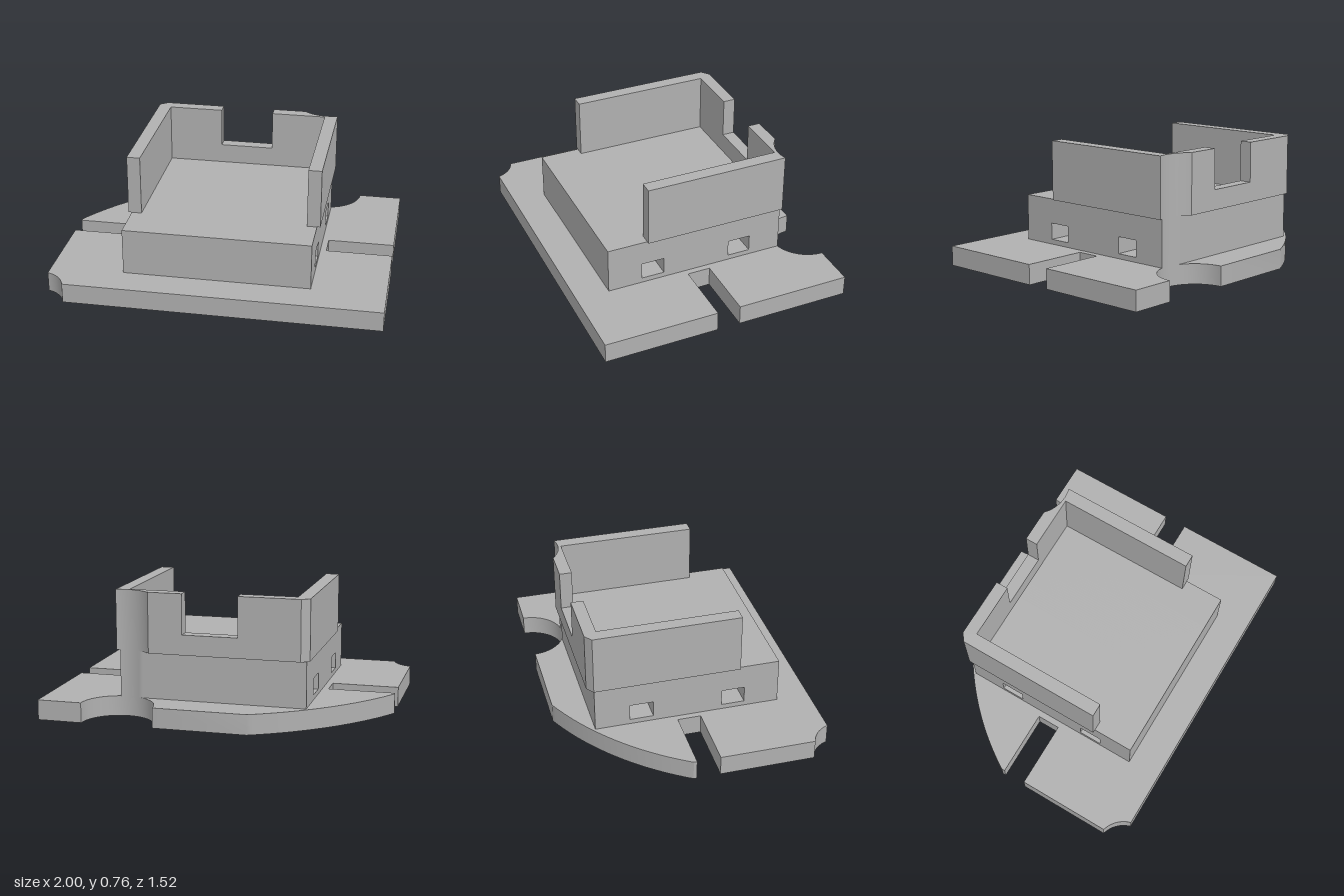
import * as THREE from 'three';
import { toCreasedNormals } from 'three/addons/utils/BufferGeometryUtils.js';

const grey = new THREE.MeshStandardMaterial({ color: 0xb0b0b0 });
grey.name = 'grey';

// Round cuts shared by the parts, as [x, z] centres
const BORE = [0.515, -0.76], BORE_R = 0.217;
const SWEEP = [0.462, 0.781];
const CORNER = [-1.05, 0.81];

// Points of the shorter arc from p to q around centre c
function arc(c, p, q, n = 24) {
  const a = Math.atan2(p[1] - c[1], p[0] - c[0]);
  let d = Math.atan2(q[1] - c[1], q[0] - c[0]) - a;
  if (d > Math.PI + 1e-6) d -= 2 * Math.PI;
  if (d < -Math.PI - 1e-6) d += 2 * Math.PI;
  const r = Math.hypot(p[0] - c[0], p[1] - c[1]);
  return Array.from({ length: n + 1 }, (_, i) => {
    const t = a + (d * i) / n;
    return [c[0] + r * Math.cos(t), c[1] + r * Math.sin(t)];
  });
}

function addMesh(group, name, geometry) {
  const mesh = new THREE.Mesh(toCreasedNormals(geometry, 0.5), grey);
  mesh.name = name;
  group.add(mesh);
}

// Vertical prism over an [x, z] outline
function prism(points, y0, y1) {
  const shape = new THREE.Shape(points.map(([x, z]) => new THREE.Vector2(x, -z)));
  return new THREE.ExtrudeGeometry(shape, { depth: y1 - y0, bevelEnabled: false })
    .rotateX(-Math.PI / 2)
    .translate(0, y0, 0);
}

const boreZ = (x) => {
  const h = BORE_R ** 2 - (x - BORE[0]) ** 2;
  return h > 0 ? BORE[1] + Math.sqrt(h) : -Infinity;
};

function rectPath(u0, v0, u1, v1, Type) {
  return new Type([[u0, v0], [u1, v0], [u1, v1], [u0, v1]].map(([u, v]) => new THREE.Vector2(u, v)));
}

export function createModel() {
  const model = new THREE.Group();
  model.name = 'mountingBracket';

  // Base plate with side slots, swept rear corner, bore and front corner bite
  const half = [BORE[0], BORE[1] + BORE_R];
  addMesh(model, 'basePlate', prism([
    ...arc(SWEEP, [-1, -0.09], [-0.26, -0.76], 32),
    ...arc(BORE, [BORE[0] - BORE_R, -0.76], half, 20),
    ...arc(BORE, half, [BORE[0] + BORE_R, -0.76], 20).slice(1),
    [1, -0.76], [1, -0.07], [0.597, -0.07], [0.597, 0.07], [1, 0.07], [1, 0.76],
    ...arc(CORNER, [-0.88, 0.76], [-1, 0.635], 12),
    [-1, 0.07], [-0.597, 0.07], [-0.597, -0.07], [-1, -0.07],
  ], 0, 0.12));

  // Block with two tunnels running through it; its rear face follows the bore
  const profile = rectPath(-0.56, 0.12, 0.56, 0.4, THREE.Shape);
  for (const s of [-0.35, 0.21]) profile.holes.push(rectPath(s, 0.15, s + 0.14, 0.25, THREE.Path));
  const block = new THREE.ExtrudeGeometry(profile, { depth: 1.12, steps: 80, bevelEnabled: false })
    .rotateY(Math.PI / 2)
    .translate(-0.56, 0, 0);
  const pos = block.attributes.position;
  for (let i = 0; i < pos.count; i++) {
    if (pos.getZ(i) < -0.5) pos.setZ(i, Math.max(pos.getZ(i), boreZ(pos.getX(i))));
  }
  addMesh(model, 'block', block);

  // Wall on the -x side, its outer corner trimmed by the rear sweep
  addMesh(model, 'rightWall', prism([
    [-0.58, 0.315], ...arc(SWEEP, [-0.58, -0.565], [-0.533, -0.6], 4),
    [-0.165, -0.6], [-0.165, -0.525], [-0.5, -0.525], [-0.5, 0.315],
  ], 0.4, 0.76));

  // Wall on the +x side, its outer corner hollowed by the bore
  const boreX = BORE[0] - Math.sqrt(BORE_R ** 2 - 0.16 ** 2);
  addMesh(model, 'leftWall', prism([
    [0.58, 0.315], [0.5, 0.315], [0.5, -0.525], [0.165, -0.525], [0.165, -0.6],
    ...arc(BORE, [boreX, -0.6], [0.58, boreZ(0.58)], 20),
  ], 0.4, 0.76));

  // Low sill joining the walls at the back
  addMesh(model, 'backSill', new THREE.BoxGeometry(0.33, 0.12, 0.075).translate(0, 0.46, -0.5625));

  return model;
}
